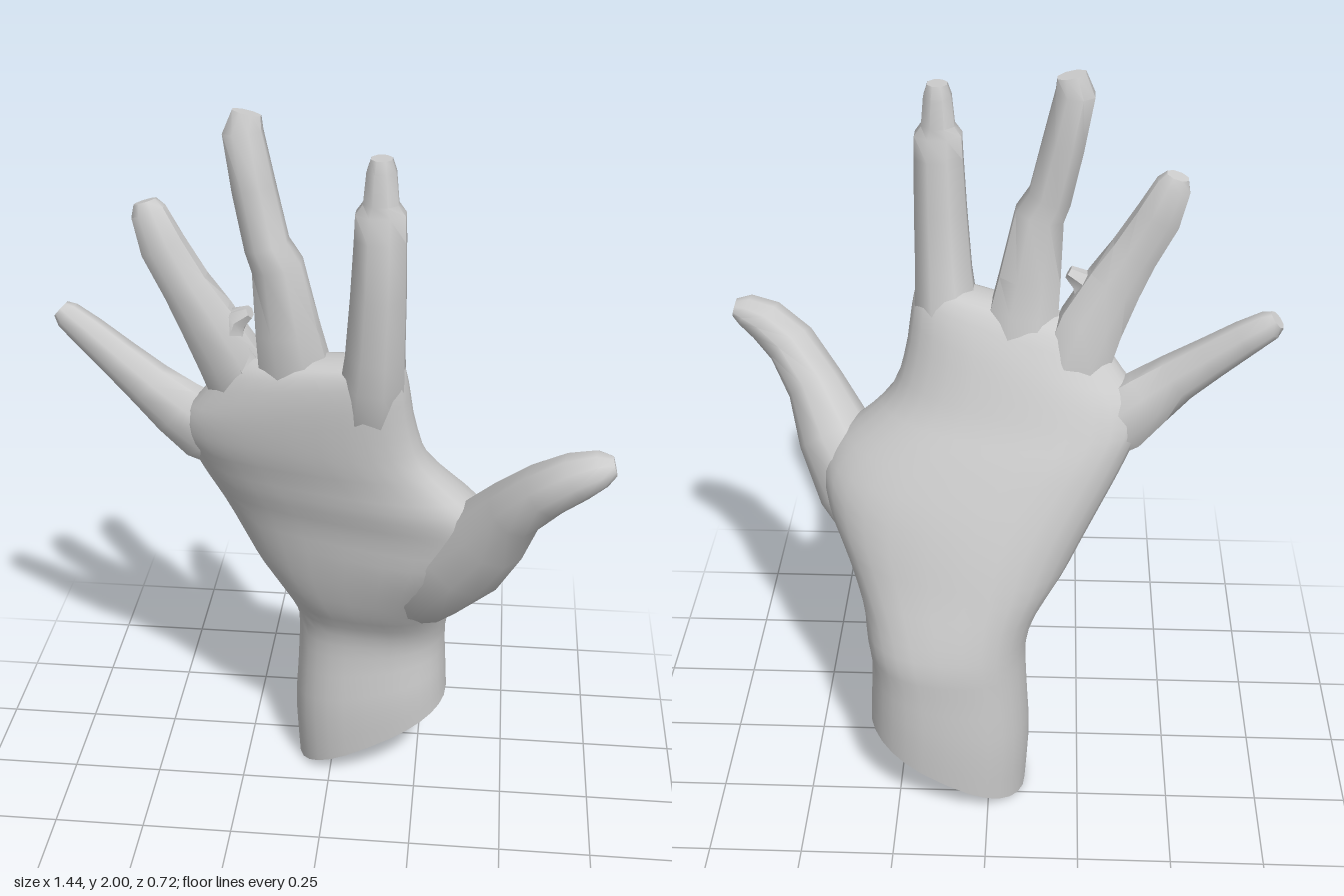
import * as THREE from 'three';
import { toCreasedNormals } from 'three/addons/utils/BufferGeometryUtils.js';

const V = (x, y, z) => new THREE.Vector3(x, y, z);
const material = new THREE.MeshStandardMaterial({ color: 0xcccccc });

// Skin a list of rings (counter-clockwise along the travel direction), closing both ends
function loft(name, rings) {
  const n = rings[0].length, pos = [], idx = [];
  for (const ring of rings) for (const p of ring) pos.push(p.x, p.y, p.z);
  for (let r = 0; r < rings.length - 1; r++) {
    for (let i = 0; i < n; i++) {
      const a = r * n + i, b = r * n + (i + 1) % n;
      idx.push(a, b, a + n, b, b + n, a + n);
    }
  }
  const last = (rings.length - 1) * n;
  [0, rings.length - 1].forEach((r) => {
    const c = V(0, 0, 0);
    rings[r].forEach((p) => c.addScaledVector(p, 1 / n));
    const k = pos.length / 3;
    pos.push(c.x, c.y, c.z);
    for (let i = 0; i < n; i++) {
      const j = (i + 1) % n;
      if (r === 0) idx.push(k, j, i);
      else idx.push(k, last + i, last + j);
    }
  });
  const g = new THREE.BufferGeometry();
  g.setAttribute('position', new THREE.Float32BufferAttribute(pos, 3));
  g.setIndex(idx);
  const mesh = new THREE.Mesh(toCreasedNormals(g, 0.85), material);
  mesh.name = name;
  return mesh;
}

// Finger: stations of [x, y, z, half width, half depth], rings square to the path
function finger(name, stations, sides = 8) {
  const pts = stations.map(([x, y, z]) => V(x, y, z));
  const rings = stations.map(([, , , w, d], i) => {
    const t = pts[Math.min(i + 1, pts.length - 1)].clone().sub(pts[Math.max(i - 1, 0)]).normalize();
    const u = t.clone().cross(V(0, 0, 1)).normalize();
    const v = t.clone().cross(u);
    return Array.from({ length: sides }, (_, k) => {
      const a = ((k + 0.5) / sides) * Math.PI * 2;
      return pts[i].clone().addScaledVector(u, w * 1.06 * Math.cos(a)).addScaledVector(v, d * 1.06 * Math.sin(a));
    });
  });
  return loft(name, rings);
}

// Palm and wrist: [height, slope, left x, left z, right x, right z, back thickness, front thickness]
function palm() {
  const rows = [
    [0.00, 0.55, -0.10, -0.185, 0.33, -0.185, 0.17, 0.172],
    [0.20, 0.30, -0.11, -0.185, 0.325, -0.185, 0.177, 0.18],
    [0.40, 0.10, -0.10, -0.19, 0.32, -0.185, 0.172, 0.172],
    [0.51, 0, -0.10, -0.19, 0.33, -0.165, 0.18, 0.175],
    [0.60, 0, -0.13, -0.18, 0.34, -0.10, 0.195, 0.185],
    [0.70, 0, -0.19, -0.16, 0.38, -0.01, 0.213, 0.165],
    [0.80, 0, -0.24, -0.135, 0.43, 0.065, 0.225, 0.14],
    [0.90, 0, -0.29, -0.11, 0.45, 0.10, 0.215, 0.12],
    [0.98, 0, -0.33, -0.09, 0.41, 0.115, 0.20, 0.115],
    [1.05, 0.01, -0.36, -0.075, 0.33, 0.11, 0.178, 0.11],
    [1.12, 0.04, -0.385, -0.06, 0.26, 0.115, 0.155, 0.107],
    [1.21, 0.13, -0.38, -0.045, 0.225, 0.13, 0.128, 0.102],
    [1.29, 0.22, -0.33, -0.02, 0.21, 0.145, 0.10, 0.09],
    [1.36, 0.18, -0.26, 0.01, 0.195, 0.15, 0.065, 0.065],
    [1.38, 0.14, -0.21, 0.03, 0.17, 0.14, 0.03, 0.03],
  ];
  const sides = 28;
  const power = (c) => Math.sign(c) * Math.pow(Math.abs(c), 0.8);
  const rings = rows.map(([y, slope, xl, zl, xr, zr, back, front]) => {
    const half = V((xr - xl) / 2, 0, (zr - zl) / 2);
    const across = V(0, 1, 0).cross(half).normalize();
    return Array.from({ length: sides }, (_, k) => {
      const a = (k / sides) * Math.PI * 2, s = Math.sin(a);
      const p = V((xl + xr) / 2, 0, (zl + zr) / 2)
        .addScaledVector(half, power(Math.cos(a)))
        .addScaledVector(across, s > 0 ? back * s : front * power(s));
      p.y = y + slope * (p.x + 0.1);
      return p;
    });
  });
  // Smooth each lengthwise line between the rows
  const steps = 34;
  const lines = rings[0].map((_, k) => new THREE.CatmullRomCurve3(rings.map((r) => r[k])).getPoints(steps));
  return loft('palmAndWrist', Array.from({ length: steps + 1 }, (_, r) => lines.map((l) => l[r])));
}

export function createModel() {
  const hand = new THREE.Group();
  hand.name = 'hand';
  hand.add(palm());

  hand.add(finger('indexFinger', [
    [0.11, 1.08, 0.05, 0.05, 0.04], [0.115, 1.24, 0.105, 0.082, 0.074],
    [0.125, 1.36, 0.132, 0.08, 0.078], [0.13, 1.44, 0.147, 0.073, 0.072],
    [0.137, 1.60, 0.167, 0.067, 0.066], [0.14, 1.74, 0.172, 0.062, 0.058],
    [0.14, 1.80, 0.17, 0.06, 0.047], [0.14, 1.825, 0.17, 0.042, 0.042],
    [0.14, 1.90, 0.168, 0.035, 0.038], [0.14, 1.93, 0.168, 0.025, 0.028],
  ]));
  hand.add(finger('middleFinger', [
    [-0.06, 1.08, -0.02, 0.05, 0.04], [-0.07, 1.26, 0.04, 0.09, 0.075],
    [-0.08, 1.37, 0.06, 0.088, 0.073], [-0.093, 1.46, 0.07, 0.079, 0.068],
    [-0.115, 1.63, 0.08, 0.062, 0.062], [-0.14, 1.68, 0.077, 0.054, 0.058],
    [-0.17, 1.82, 0.07, 0.052, 0.052], [-0.195, 1.95, 0.058, 0.048, 0.042],
    [-0.185, 1.995, 0.055, 0.035, 0.025],
  ]));
  hand.add(finger('ringFinger', [
    [-0.16, 1.06, -0.04, 0.05, 0.04], [-0.215, 1.26, 0.0, 0.085, 0.07],
    [-0.25, 1.36, 0.02, 0.082, 0.066], [-0.305, 1.47, 0.03, 0.07, 0.06],
    [-0.35, 1.55, 0.033, 0.06, 0.052], [-0.405, 1.65, 0.03, 0.056, 0.045],
    [-0.437, 1.735, 0.025, 0.043, 0.036], [-0.445, 1.76, 0.022, 0.028, 0.022],
  ]));
  hand.add(finger('littleFinger', [
    [-0.22, 1.02, -0.06, 0.05, 0.04], [-0.32, 1.115, -0.045, 0.09, 0.07],
    [-0.40, 1.18, -0.035, 0.076, 0.062], [-0.47, 1.24, -0.037, 0.062, 0.056],
    [-0.55, 1.305, -0.05, 0.052, 0.048], [-0.63, 1.37, -0.063, 0.044, 0.04],
    [-0.685, 1.412, -0.073, 0.036, 0.034], [-0.703, 1.428, -0.076, 0.024, 0.024],
  ]));
  hand.add(finger('thumb', [
    [0.21, 0.58, -0.08, 0.06, 0.06], [0.265, 0.69, 0.0, 0.105, 0.1],
    [0.36, 0.83, 0.07, 0.12, 0.108], [0.435, 0.95, 0.135, 0.098, 0.1],
    [0.49, 1.06, 0.20, 0.074, 0.08], [0.56, 1.15, 0.265, 0.065, 0.072],
    [0.63, 1.205, 0.295, 0.057, 0.062], [0.685, 1.232, 0.302, 0.042, 0.05],
    [0.715, 1.24, 0.302, 0.022, 0.03],
  ], 10));

  // Small web of skin beside the ring finger
  hand.add(finger('fingerWeb', [
    [-0.20, 1.32, 0.03, 0.05, 0.05], [-0.245, 1.42, 0.035, 0.04, 0.04],
    [-0.225, 1.47, 0.04, 0.03, 0.03], [-0.19, 1.49, 0.045, 0.015, 0.02],
  ], 6));
  return hand;
}
